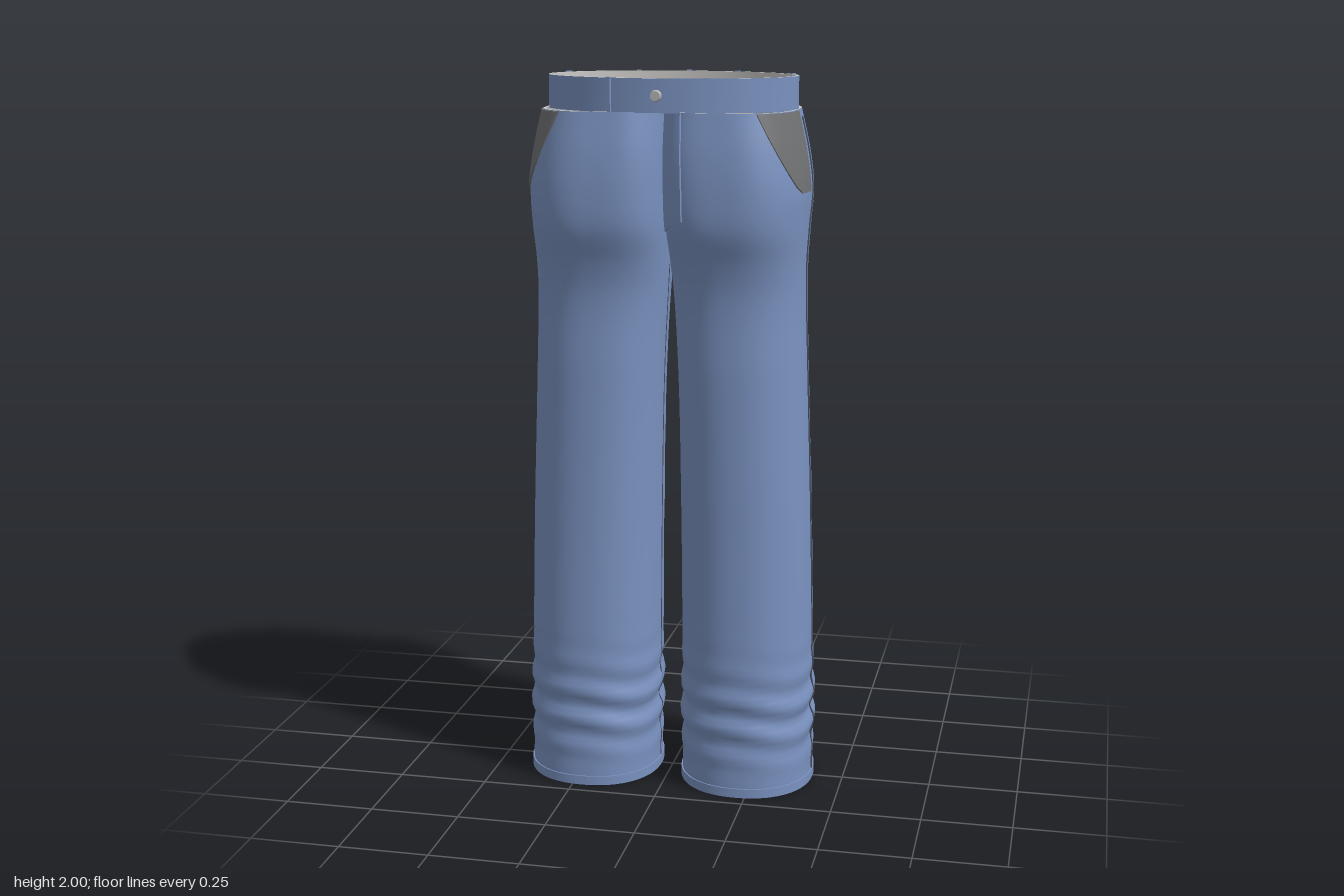
import * as THREE from 'three';
import { toCreasedNormals } from 'three/addons/utils/BufferGeometryUtils.js';

const mat = (name, color) => new THREE.MeshStandardMaterial({ name, color });

// Leg sections: y, inner x, outer x, front z, back z, inner squareness, outer squareness
const sections = [
  [0, 0.037, 0.41, 0.207, -0.203, 2.2, 2.2],
  [0.4, 0.035, 0.406, 0.205, -0.203, 2.2, 2.2],
  [0.8, 0.031, 0.396, 0.2, -0.193, 2.2, 2.2],
  [1.2, 0.023, 0.382, 0.199, -0.19, 2.3, 2.2],
  [1.42, 0.012, 0.375, 0.2, -0.19, 2.5, 2.3],
  [1.5, 0.007, 0.375, 0.215, -0.2, 2.8, 2.4],
  [1.6, 0.002, 0.38, 0.245, -0.226, 3.4, 2.5],
  [1.7, 0.001, 0.385, 0.25, -0.246, 3.8, 2.5],
  [1.8, 0.001, 0.372, 0.243, -0.247, 4, 2.5],
  [1.91, 0.004, 0.348, 0.225, -0.225, 4, 2.5],
];
const spline = new THREE.CubicInterpolant(
  sections.map((s) => s[0]), sections.flatMap((s) => s.slice(1)), 6);

// Point on a leg: t = 0 is the outer side, t = PI/2 the front; off pushes outward
function legPoint(side, t, y, off = 0) {
  const [xi, xo, zf, zb, nIn, nOut] = spline.evaluate(y);
  const c = Math.cos(t), s = Math.sin(t), n = c < 0 ? nIn : nOut;
  const r = (Math.abs(c) ** n + Math.abs(s) ** n) ** (-1 / n);
  // Bunched cloth above the hem and faint creases behind the knee
  const bunch = Math.exp(-(((y - 0.22) / 0.12) ** 2)) * THREE.MathUtils.smoothstep(y, 0.03, 0.1);
  const knee = Math.exp(-(((y - 0.85) / 0.2) ** 2)) * Math.max(0, -s);
  const fold = 0.0075 * bunch * Math.sin(72 * y + 1.6 * Math.sin(t + side) + 0.7 * Math.sin(3 * t))
    + 0.003 * knee * Math.sin(28 * y + 2 * c);
  const x = (xi + xo) / 2 + ((xo - xi) / 2) * c * r + (off + fold) * c;
  const z = (zf + zb) / 2 + ((zf - zb) / 2) * s * r + (off + fold) * s;
  return new THREE.Vector3(side * x, y, z);
}

// Point on the waistband oval
const bandPoint = (t, y, off = 0) =>
  new THREE.Vector3((0.345 + off) * Math.cos(t), y, (0.215 + off) * Math.sin(t));

// Grid surface from fn(i, j); flip reverses the facing
function grid(nu, nv, fn, flip = false, crease = 0.7) {
  const pos = [], idx = [];
  for (let j = 0; j <= nv; j++) for (let i = 0; i <= nu; i++) pos.push(...fn(i, j).toArray());
  for (let j = 0; j < nv; j++) for (let i = 0; i < nu; i++) {
    const a = j * (nu + 1) + i, b = a + 1, c = a + nu + 1, d = c + 1;
    idx.push(...(flip ? [a, b, c, b, d, c] : [a, c, b, b, c, d]));
  }
  const g = new THREE.BufferGeometry();
  g.setAttribute('position', new THREE.Float32BufferAttribute(pos, 3));
  g.setIndex(idx);
  return toCreasedNormals(g, crease);
}

// Thin cloth piece laid on a leg; shape(u, v) gives [t, y], its rim folds down to the leg
function patch(side, nu, nv, off, base, shape) {
  const clamp = THREE.MathUtils.clamp;
  return grid(nu + 2, nv + 2, (i, j) => {
    const rim = i === 0 || j === 0 || i === nu + 2 || j === nv + 2;
    const [t, y] = shape(clamp((i - 1) / nu, 0, 1), clamp((j - 1) / nv, 0, 1));
    return legPoint(side, t, y, rim ? base : off);
  }, side < 0);
}

// Thread following [t, y] points on a leg
function thread(side, pts, off, radius, steps) {
  const path = new THREE.CatmullRomCurve3(pts.map(([t, y]) => legPoint(side, t, y, off)));
  return new THREE.TubeGeometry(path, steps, radius, 5);
}

export function createModel() {
  const denim = mat('denim', 0x7a92c0);
  const pocketCloth = mat('pocket cloth', 0x707173);
  const lining = mat('lining', 0xcbcac8);
  const stitching = mat('stitching', 0x4a5062);
  const patchLeather = mat('label leather', 0x3a3a3c);
  const metal = mat('button metal', 0xb4b4b4);

  const model = new THREE.Group();
  model.name = 'trousers';
  const add = (parent, name, geometry, material) => {
    const m = new THREE.Mesh(geometry, material);
    m.name = name;
    parent.add(m);
    return m;
  };
  const TAU = Math.PI * 2, N = 72, ROWS = 110, TOP = 1.91;

  for (const side of [1, -1]) {
    const leg = new THREE.Group();
    leg.name = side > 0 ? 'leftLeg' : 'rightLeg';
    model.add(leg);

    add(leg, 'legOuter', grid(N, ROWS, (i, j) =>
      legPoint(side, (i / N) * TAU, (j / ROWS) * TOP), side < 0, 1.2), denim);
    // Lining with a rim at both openings
    add(leg, 'legLining', grid(N, ROWS + 2, (i, j) => {
      const rim = j === 0 || j === ROWS + 2;
      const y = THREE.MathUtils.clamp((j - 1) / ROWS, 0, 1) * TOP;
      return legPoint(side, (i / N) * TAU, y, rim ? 0 : -0.008);
    }, side > 0, 1.2), lining);

    // Hem
    const hem = [[0, 0], [0, 0.004], [0.026, 0.004], [0.026, 0]];
    add(leg, 'hem', grid(N, 3, (i, j) =>
      legPoint(side, (i / N) * TAU, hem[j][0], hem[j][1]), side < 0), denim);

    // Side seam and inseam
    const seam = [];
    for (let k = 0; k <= 60; k++) {
      const y = (k / 60) * 1.89;
      seam.push([0.03 - 0.1 * THREE.MathUtils.smoothstep(y, 1.45, 1.75), y]);
    }
    add(leg, 'sideSeam', thread(side, seam, 0.001, 0.003, 180), stitching);
    add(leg, 'inseam', thread(side, seam.slice(0, 48).map(([, y]) => [Math.PI, y]), 0, 0.002, 140), stitching);

    // Front pocket with a slanted opening
    add(leg, 'frontPocket', patch(side, 16, 12, 0.005, -0.002, (u, v) => {
      const t1 = 0.435 + 0.62 * v ** 0.65;
      return [THREE.MathUtils.lerp(0.14, t1, u), 1.695 + 0.213 * v];
    }), pocketCloth);

    // Back pocket with a pointed bottom, top hem and chevron stitch
    const backT = (u, v) => THREE.MathUtils.lerp(-1.47 + 0.05 * v - 0.05, -0.64 + 0.04 * (1 - v) - 0.06 * v, u);
    add(leg, 'backPocket', patch(side, 16, 12, 0.007, -0.002, (u, v) => {
      const low = 1.59 - 0.052 * (1 - Math.abs(2 * u - 1));
      return [backT(u, v), THREE.MathUtils.lerp(low, 1.835, v)];
    }), pocketCloth);
    add(leg, 'backPocketHem', patch(side, 16, 2, 0.011, 0.004, (u, v) =>
      [backT(u, 0.9 + 0.1 * v), 1.81 + 0.027 * v]), pocketCloth);
    const chevron = [[0.1, 1.69], [0.25, 1.715], [0.4, 1.745], [0.5, 1.755], [0.6, 1.745], [0.75, 1.715], [0.9, 1.69]];
    add(leg, 'pocketStitch', thread(side, chevron.map(([u, y]) => [backT(u, 0.5), y]), 0.007, 0.002, 30), stitching);
  }

  // Fly flap on the left leg
  add(model, 'fly', patch(1, 8, 16, 0.005, -0.002, (u, v) =>
    [THREE.MathUtils.lerp(2.15, 2.55, u), THREE.MathUtils.lerp(1.625 - 0.035 * u, 1.908, v)]), denim);

  // Waistband: outer wall, then lining with top and bottom rims
  const waist = new THREE.Group();
  waist.name = 'waistband';
  model.add(waist);
  add(waist, 'bandOuter', grid(96, 1, (i, j) => bandPoint((i / 96) * TAU, j ? 1.998 : 1.908)), denim);
  const inner = [[1.908, 0], [1.908, -0.009], [1.998, -0.009], [1.998, 0]];
  add(waist, 'bandLining', grid(96, 3, (i, j) =>
    bandPoint((i / 96) * TAU, inner[j][0], inner[j][1]), true), lining);

  // Belt loops, turned to follow the oval
  const loops = [[0.13, 1], [-0.13, 1], [0.14, -1], [-0.14, -1], [0.313, -1], [-0.313, -1], [0, -1]];
  for (const [x, face] of loops) {
    const t = face * Math.acos(x / 0.345);
    const loop = add(waist, 'beltLoop', new THREE.BoxGeometry(0.013, 0.092, 0.01), denim);
    loop.position.copy(bandPoint(t, 1.954, 0.003));
    loop.rotation.y = Math.atan2(Math.cos(t) / 0.345, Math.sin(t) / 0.215);
  }

  // Leather label at the back
  const label = [[1.93, 0], [1.93, 0.004], [1.982, 0.004], [1.982, 0]];
  const tA = -Math.acos(-0.25 / 0.345), tB = -Math.acos(-0.17 / 0.345);
  add(waist, 'label', grid(8, 3, (i, j) =>
    bandPoint(THREE.MathUtils.lerp(tA, tB, i / 8), label[j][0], label[j][1])), patchLeather);

  // Front button
  const button = add(waist, 'button', new THREE.CylinderGeometry(0.013, 0.016, 0.014, 20), metal);
  button.rotation.x = Math.PI / 2;
  button.position.set(0, 1.953, 0.221);

  return model;
}
